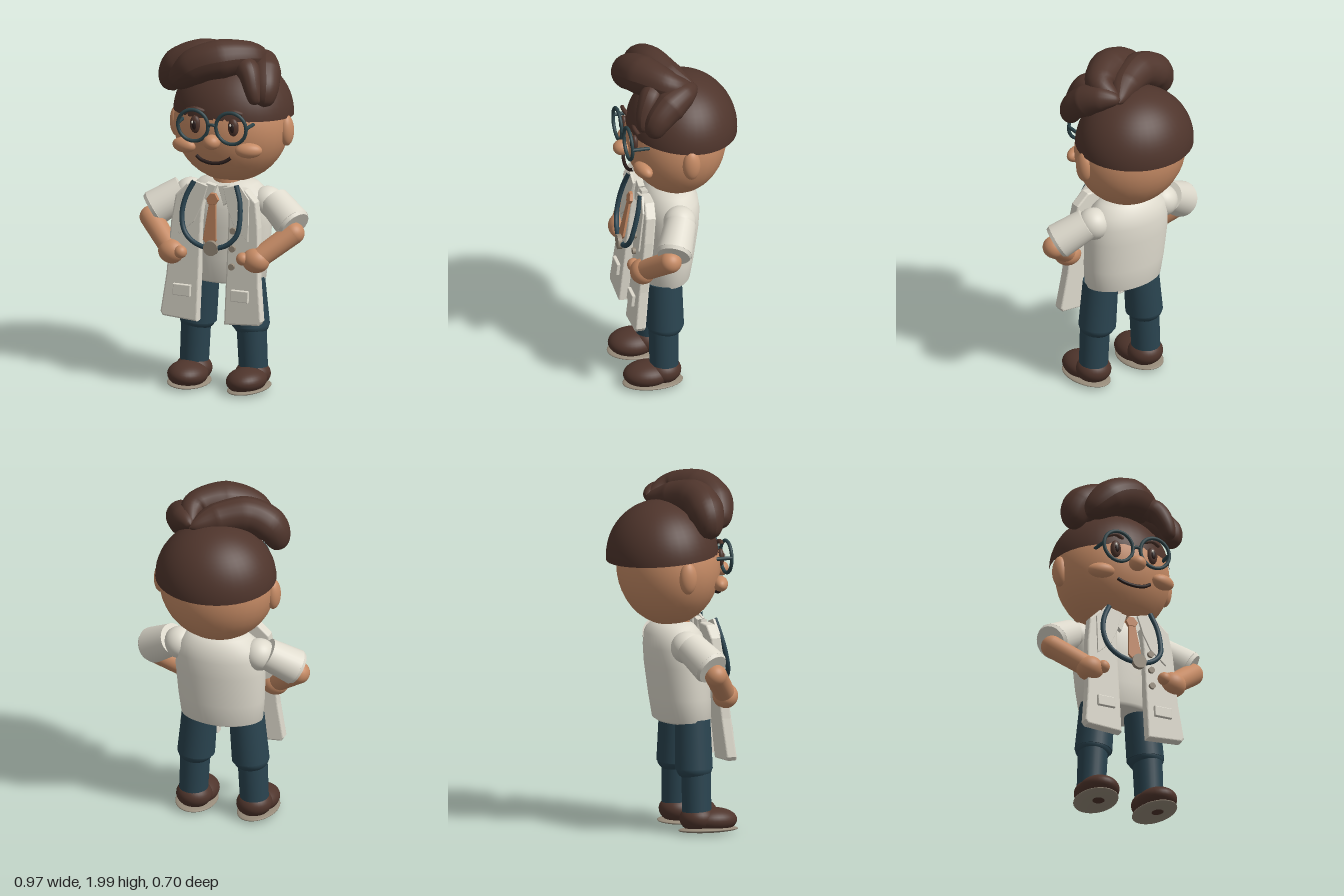
import * as THREE from 'three';

const V = (a) => new THREE.Vector3(...a);
const paint = (name, color) => {
  const m = new THREE.MeshStandardMaterial({ color });
  m.name = name;
  return m;
};

export function createModel() {
  const skin = paint('skin', 0xc68b65);
  const brown = paint('hair brown', 0x4f352c);
  const white = paint('coat white', 0xdedacd);
  const navy = paint('navy', 0x2a4450);
  const frame = paint('glasses grey green', 0x2c4348);
  const tan = paint('tie tan', 0xc28660);
  const taupe = paint('sole taupe', 0x968a79);
  const dark = paint('dark line', 0x2a1d1b);

  const model = new THREE.Group();
  model.name = 'doctor';

  function add(name, geo, mat, pos = [0, 0, 0], parent = model) {
    const mesh = new THREE.Mesh(geo, mat);
    mesh.name = name;
    mesh.position.set(...pos);
    parent.add(mesh);
    return mesh;
  }
  function ball(name, mat, radii, pos, parent = model) {
    return add(name, new THREE.SphereGeometry(1, 32, 20).scale(...radii), mat, pos, parent);
  }
  // cylinder between two points
  function limb(name, mat, a, b, ra, rb, parent = model) {
    const d = V(b).sub(V(a));
    const mesh = add(name, new THREE.CylinderGeometry(rb, ra, d.length(), 28), mat, [0, 0, 0], parent);
    mesh.position.copy(V(a)).addScaledVector(d, 0.5);
    mesh.quaternion.setFromUnitVectors(new THREE.Vector3(0, 1, 0), d.normalize());
    return mesh;
  }
  // flat outline, thickened and leaned: z = z0 + slope * (1 - y)
  function slab(name, mat, pts, depth, bevel, z0, slope) {
    const shape = new THREE.Shape(pts.map((p) => new THREE.Vector2(...p)));
    const geo = new THREE.ExtrudeGeometry(shape, {
      depth, bevelEnabled: true, bevelSize: bevel, bevelThickness: bevel, bevelSegments: 3,
    });
    const p = geo.attributes.position;
    for (let i = 0; i < p.count; i++) {
      p.setZ(i, p.getZ(i) - depth / 2 + z0 + slope * (1 - p.getY(i)));
    }
    return add(name, geo, mat);
  }
  function wire(name, mat, pts, r, parent = model) {
    const curve = new THREE.CatmullRomCurve3(pts.map(V));
    return add(name, new THREE.TubeGeometry(curve, 40, r, 10), mat, [0, 0, 0], parent);
  }
  // hair lock: tube whose radius follows a list and closes at both ends
  function lock(name, pts, radii) {
    const curve = new THREE.CatmullRomCurve3(pts.map(V));
    const n = 40, sides = 20;
    const geo = new THREE.TubeGeometry(curve, n, 1, sides);
    const p = geo.attributes.position;
    const c = new THREE.Vector3(), v = new THREE.Vector3();
    for (let i = 0; i < p.count; i++) {
      const t = Math.floor(i / (sides + 1)) / n;
      const f = t * (radii.length - 1);
      const k = Math.min(Math.floor(f), radii.length - 2);
      const end = Math.sqrt(Math.max(0, 1 - Math.pow(Math.abs(2 * t - 1), 10)));
      const r = THREE.MathUtils.lerp(radii[k], radii[k + 1], f - k) * end;
      curve.getPointAt(t, c);
      v.fromBufferAttribute(p, i).sub(c).multiplyScalar(r).add(c);
      p.setXYZ(i, v.x, v.y, v.z);
    }
    geo.computeVertexNormals();
    return add(name, geo, brown);
  }

  // head and face
  const head = new THREE.Group();
  head.name = 'head';
  head.position.x = 0.024;
  head.rotation.set(0, 0.03, 0.015);
  model.add(head);
  ball('skull', skin, [0.325, 0.328, 0.28], [0, 1.475, -0.005], head);
  ball('nose', skin, [0.048, 0.042, 0.048], [0, 1.44, 0.3], head);
  wire('mouth', dark, [[-0.105, 1.345, 0.262], [-0.07, 1.325, 0.27], [0, 1.313, 0.275],
    [0.06, 1.325, 0.268], [0.095, 1.347, 0.258]], 0.01, head);
  for (const s of [1, -1]) {
    const x = s * 0.112;
    ball('ear', skin, [0.04, 0.088, 0.05], [s * 0.322, 1.455, -0.01], head);
    ball('cheek', skin, [0.075, 0.042, 0.042], [s * 0.19, 1.39, 0.23], head).rotation.y = s * 0.3;
    ball('eye', brown, [0.031, 0.05, 0.022], [x, 1.522, 0.257], head);
    ball('pupil', dark, [0.015, 0.028, 0.012], [x, 1.522, 0.271], head);
    ball('eyeGlint', white, [0.006, 0.008, 0.004], [x - 0.008, 1.54, 0.282], head);
    wire('eyebrow', brown, [[x - 0.05, 1.598, 0.25], [x, 1.612, 0.257], [x + 0.05, 1.598, 0.245]], 0.012, head);
    add('glassesRim', new THREE.TorusGeometry(0.089, 0.01, 12, 40), frame, [x, 1.525, 0.292], head);
    limb('glassesTemple', frame, [x + s * 0.09, 1.532, 0.292], [x + s * 0.095, 1.532, 0.19], 0.01, 0.01, head);
  }
  wire('glassesBridge', frame, [[-0.027, 1.53, 0.292], [0, 1.538, 0.296], [0.027, 1.53, 0.292]], 0.009, head);

  // hair cap
  const cap = add('hairCap', new THREE.SphereGeometry(1, 40, 16, 0, Math.PI * 2, 0, Math.PI / 2)
    .scale(0.337, 0.313, 0.307), brown, [0, 1.53, -0.04]);
  cap.rotation.x = -0.083;

  // swept locks
  lock('rearLock', [[0.14, 1.83, -0.09], [0.03, 1.85, 0.02], [-0.14, 1.86, 0.11],
    [-0.27, 1.79, 0.13], [-0.315, 1.66, 0.14]], [0.03, 0.085, 0.1, 0.1, 0.06]);
  lock('frontLock', [[0.13, 1.84, -0.08], [0.16, 1.88, 0.05], [0.05, 1.89, 0.16],
    [-0.1, 1.85, 0.22], [-0.26, 1.72, 0.22]], [0.03, 0.085, 0.11, 0.1, 0.06]);
  lock('sideLock', [[0.13, 1.85, -0.09], [0.2, 1.84, 0], [0.245, 1.79, 0.1],
    [0.272, 1.73, 0.16], [0.275, 1.64, 0.19]], [0.03, 0.07, 0.09, 0.075, 0.05]);
  lock('innerLock', [[0.1, 1.87, 0.12], [0.18, 1.83, 0.18], [0.22, 1.75, 0.22],
    [0.245, 1.66, 0.23]], [0.06, 0.065, 0.05, 0.035]);

  // torso
  const profile = [[0, 0.61], [0.2, 0.61], [0.232, 0.625], [0.245, 0.75], [0.255, 0.93],
    [0.25, 1.03], [0.225, 1.1], [0.17, 1.15], [0.1, 1.17], [0, 1.175]];
  const torso = new THREE.LatheGeometry(profile.map((p) => new THREE.Vector2(...p)), 48).scale(1, 1, 0.66);
  const tp = torso.attributes.position;
  for (let i = 0; i < tp.count; i++) tp.setZ(i, tp.getZ(i) + 0.04 + (0.95 - tp.getY(i)) * 0.1);
  add('torso', torso, white);
  limb('neck', skin, [0, 1.1, 0.03], [0, 1.22, 0.02], 0.09, 0.09);

  // both halves of coat, arms and legs
  for (const s of [1, -1]) {
    const side = (pts) => pts.map(([x, y]) => [x * s, y]);
    slab('coatPanel', white, side([[0.08, 1.15], [0.17, 1.15], [0.23, 1.09], [0.25, 0.95], [0.265, 0.65],
      [0.29, 0.44], [0.28, 0.425], [0.09, 0.412], [0.09, 0.7], [0.09, 0.95]]), 0.04, 0.01, 0.2, 0.11);
    slab('lapel', white, side([[0.05, 1.16], [0.14, 1.185], [0.2, 1.11], [0.205, 0.88], [0.12, 0.96],
      [0.08, 1.05]]), 0.01, 0.002, 0.233, 0.11);
    slab('collar', white, side([[0.01, 1.16], [0.06, 1.17], [0.07, 1.09], [0.045, 1.06]]), 0.03, 0.003, 0.2, 0.11);
    slab('pocket', white, side([[0.125, 0.545], [0.22, 0.545], [0.22, 0.6], [0.125, 0.6]]), 0.02, 0.004, 0.235, 0.11);

    ball('shoulder', white, [0.09, 0.09, 0.09], [s * 0.23, 1.05, 0.025]);
    limb('sleeve', white, [s * 0.27, 1.06, 0.03], [s * 0.412, 0.965, 0.1], 0.088, 0.1);
    limb('sleeveHem', white, [s * 0.412, 0.965, 0.1], [s * 0.427, 0.955, 0.107], 0.1, 0.09);
    ball('elbow', skin, [0.062, 0.062, 0.062], [s * 0.425, 0.92, 0.125]);
    limb('forearm', skin, [s * 0.425, 0.92, 0.125], [s * 0.26, 0.785, 0.235], 0.062, 0.058);
    ball('hand', skin, [0.078, 0.07, 0.07], [s * 0.25, 0.775, 0.24]);
    ball('thumb', skin, [0.036, 0.036, 0.036], [s * 0.185, 0.785, 0.275]);

    limb('thigh', navy, [s * 0.135, 0.63, 0.09], [s * 0.158, 0.36, 0.09], 0.098, 0.104);
    ball('knee', navy, [0.1, 0.07, 0.1], [s * 0.159, 0.365, 0.09]);
    limb('shin', navy, [s * 0.165, 0.36, 0.1], [s * 0.177, 0.1, 0.1], 0.083, 0.08);

    const shoe = new THREE.Group();
    shoe.name = 'shoe';
    shoe.position.set(s * 0.178, 0.03, 0.165);
    shoe.rotation.z = s * 0.07;
    model.add(shoe);
    ball('shoeToe', brown, [0.11, 0.07, 0.135], [0, 0.042, 0.03], shoe);
    ball('shoeHeel', brown, [0.1, 0.075, 0.1], [0, 0.056, -0.06], shoe);
    ball('sole', taupe, [0.113, 0.018, 0.17], [0, -0.008, 0], shoe);
  }

  // tie
  slab('tieKnot', tan, [[-0.015, 1.13], [0.01, 1.13], [0.03, 1.1], [0.015, 1.075], [-0.025, 1.075], [-0.035, 1.1]],
    0.014, 0.003, 0.27, 0.2);
  slab('tieBlade', tan, [[-0.02, 1.08], [0.015, 1.08], [0.035, 0.88], [0, 0.835], [-0.04, 0.88]],
    0.01, 0.002, 0.27, 0.2);

  // buttons
  for (const y of [0.93, 0.83, 0.73]) {
    add('button', new THREE.CylinderGeometry(0.018, 0.018, 0.018, 20).rotateX(Math.PI / 2), taupe,
      [0.116, y, 0.238 + 0.11 * (1 - y)]);
  }

  // stethoscope
  const loop = [[-0.125, 1.185], [-0.165, 1.1], [-0.18, 1], [-0.155, 0.91], [-0.09, 0.855], [0.01, 0.835],
    [0.1, 0.86], [0.155, 0.92], [0.165, 1], [0.155, 1.1], [0.125, 1.185]];
  wire('stethoscopeTube', navy, loop.map(([x, y]) => [x, y, 0.222 + (1.185 - y) * 0.24]), 0.014);
  add('stethoscopeDisc', new THREE.CylinderGeometry(0.042, 0.042, 0.024, 28).rotateX(Math.PI / 2), taupe,
    [0.013, 0.838, 0.315]);

  return model;
}
